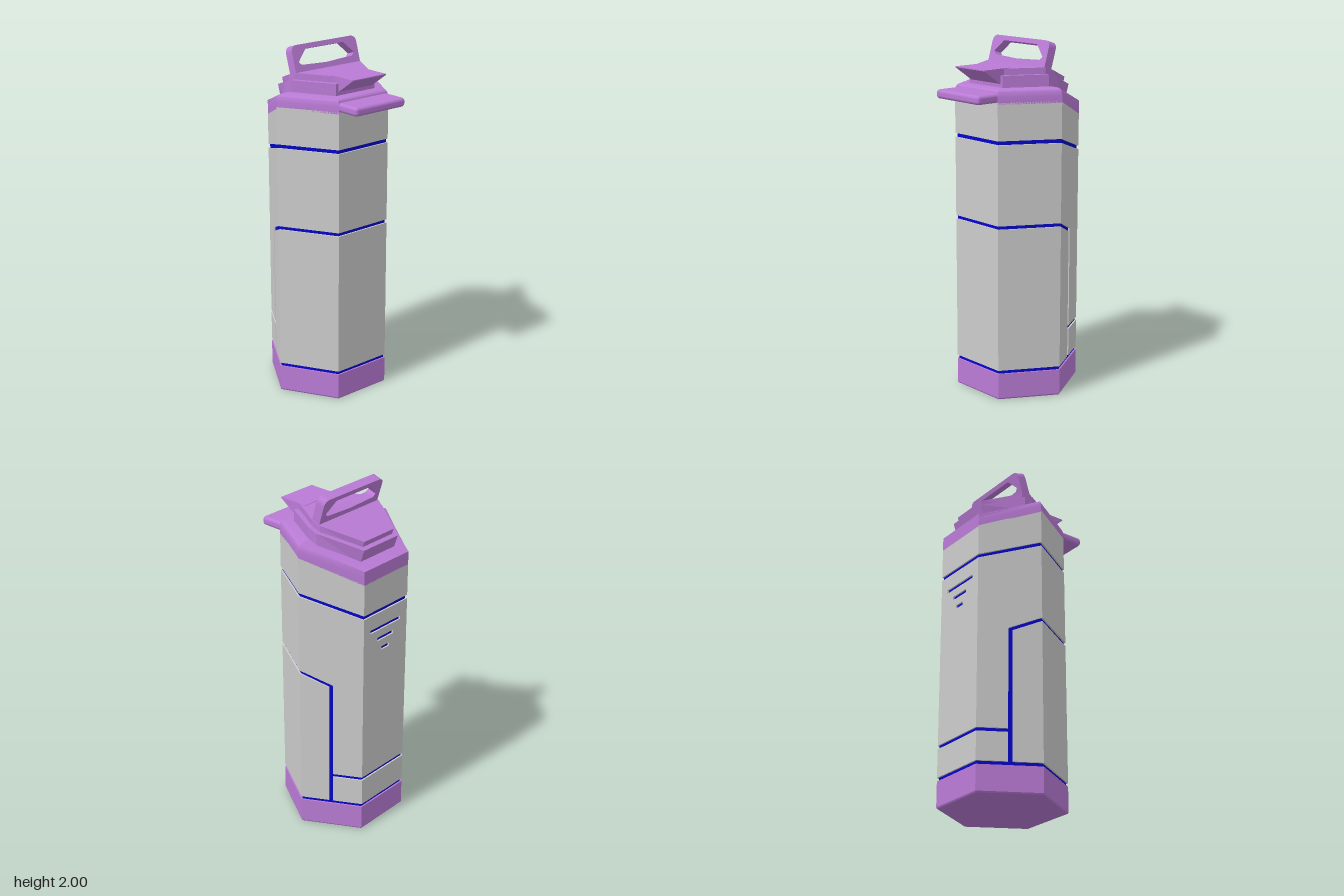
import * as THREE from 'three';
import { toCreasedNormals } from 'three/addons/utils/BufferGeometryUtils.js';
import { RoundedBoxGeometry } from 'three/addons/geometries/RoundedBoxGeometry.js';

const R = 0.355, Z0 = -0.07, RECESS = 0.97;
const grey = new THREE.MeshStandardMaterial({ color: 0xcccccc });
const purple = new THREE.MeshStandardMaterial({ color: 0xba7bd6 });
const blue = new THREE.MeshStandardMaterial({ color: 0x0505c8 });

// Hexagon corner k (0 = +x, 1 and 2 at the front), scaled about the bottle axis
const corner = (k, s = 1) => {
  const a = k * Math.PI / 3;
  return [R * s * Math.cos(a), Z0 + R * s * Math.sin(a)];
};
// Lower rim of the lid: level in front, sloping down behind the axis
const rimY = z => 1.68 - 0.39 * Math.max(0, Z0 - z);

// Skin over a list of equal-length closed rings, with both ends capped
function loft(rings, crease) {
  const p = [], n = rings[0].length;
  const tri = (a, b, c) => p.push(...a, ...b, ...c);
  for (let i = 0; i + 1 < rings.length; i++) {
    for (let k = 0; k < n; k++) {
      const j = (k + 1) % n, lo = rings[i], hi = rings[i + 1];
      tri(lo[k], hi[k], lo[j]);
      tri(lo[j], hi[k], hi[j]);
    }
  }
  const first = rings[0], last = rings[rings.length - 1];
  for (let k = 1; k + 1 < n; k++) {
    tri(first[0], first[k], first[k + 1]);
    tri(last[0], last[k + 1], last[k]);
  }
  const g = new THREE.BufferGeometry();
  g.setAttribute('position', new THREE.Float32BufferAttribute(p, 3));
  g.computeVertexNormals();
  return crease ? toCreasedNormals(g, crease) : g;
}

const hexRing = (s, y) => Array.from({ length: 6 }, (_, k) => {
  const [x, z] = corner(k, s);
  return [x, typeof y === 'function' ? y(z) : y, z];
});

// Rectangular section of a slab: rows run from front to back
const section = (z, w, top, bottom, zb = z) =>
  [[w, top, z], [-w, top, z], [-w, bottom, zb], [w, bottom, zb]];

// Plate that folds down behind z = -0.06, its rear walls square to the slope
function foldedPlate(rows, top, thick) {
  return loft(rows.map(([z, w]) => {
    const back = Math.max(0, -0.06 - z), y = top - 0.33 * back;
    const lean = back > 0.1 ? 0.32 * thick : 0;
    return section(z, w, y, y - thick, z + lean);
  }));
}

// Wall panel on face k; outline in (u across the face 0..1, y), edges mitred to the axis
function panel(k, outline, holes = []) {
  const toPath = pts => pts.map(([u, y]) => new THREE.Vector2(u, y));
  const shape = new THREE.Shape(toPath(outline));
  holes.forEach(h => shape.holes.push(new THREE.Path(toPath(h))));
  const g = new THREE.ExtrudeGeometry(shape, { depth: 1, bevelEnabled: false });
  const pos = g.attributes.position;
  for (let i = 0; i < pos.count; i++) {
    const u = pos.getX(i), s = RECESS + (1 - RECESS) * pos.getZ(i);
    const [ax, az] = corner(k + 1, s), [bx, bz] = corner(k, s);
    pos.setXYZ(i, ax + (bx - ax) * u, pos.getY(i), az + (bz - az) * u);
  }
  g.computeVertexNormals();
  return g;
}
const rect = (u0, u1, y0, y1) => [[u0, y0], [u1, y0], [u1, y1], [u0, y1]];

export function createModel() {
  const model = new THREE.Group();
  const add = (name, geometry, material, parent = model) => {
    const mesh = new THREE.Mesh(geometry, material);
    mesh.name = name;
    parent.add(mesh);
    return mesh;
  };

  // Base cup and the recessed core that shows through the grooves
  add('base', loft([hexRing(0.985, 0), hexRing(1, 0.008), hexRing(1, 0.152)]), purple);
  add('grooveCore', loft([hexRing(RECESS, 0.1), hexRing(RECESS, z => rimY(z) + 0.01)]), blue);

  // Wall panels
  const walls = new THREE.Group();
  walls.name = 'wallPanels';
  model.add(walls);
  for (const k of [0, 1, 2]) {
    for (const [y0, y1] of [[0.172, 0.99], [1.01, 1.46], [1.482, 1.69]]) {
      add('frontPanel', panel(k, rect(0, 1, y0, y1)), grey, walls);
    }
  }
  const sidePanels = [
    [[0, 0.172], [0.46, 0.172], [0.46, 0.924], [0, 0.99]],
    [[0, 1.01], [0.525, 0.937], [0.525, 0.355], [1, 0.355], [1, 1.36], [0, 1.46]],
    rect(0.525, 1, 0.172, 0.335),
    [[0, 1.482], [1, 1.382], [1, 1.565], [0, 1.685]],
  ];
  for (const outline of sidePanels) {
    add('rightRearPanel', panel(5, outline), grey, walls);
    add('leftRearPanel', panel(3, outline.map(([u, y]) => [1 - u, y])), grey, walls);
  }
  // Back face with three shrinking slots
  const slots = [[0.345, 1.265], [0.18, 1.2], [0.09, 1.135]]
    .map(([h, y]) => rect(0.5 - h, 0.5 + h, y - 0.01, y + 0.01));
  add('backPanel', panel(4, rect(0, 1, 0.172, 0.335)), grey, walls);
  add('backPanel', panel(4, rect(0, 1, 0.355, 1.36), slots), grey, walls);
  add('backPanel', panel(4, rect(0, 1, 1.382, 1.565)), grey, walls);

  // Lid: rounded over at the front and sides, square at the back
  const lidRings = [[1, 0], [1, 0.04], [0.993, 0.055], [0.977, 0.068], [0.955, 0.075], [0.9, 0.08]]
    .map(([s, h]) => Array.from({ length: 6 }, (_, k) => {
      const [x, z] = corner(k, k > 3 ? 1 : s);
      return [x, rimY(z) + h, z];
    }));
  add('lid', loft(lidRings, 0.36), purple);
  const visor = add('visor', new RoundedBoxGeometry(0.354, 0.05, 0.3, 3, 0.018), purple);
  visor.position.set(0, 1.715, 0.225);

  // Stepped cap with its wedge-shaped thumb tab
  add('capLower', foldedPlate([[0.167, 0.138], [-0.06, 0.262], [-0.115, 0.262], [-0.335, 0.135]], 1.825, 0.085), purple);
  add('capUpper', foldedPlate([[0.14, 0.12], [-0.06, 0.235], [-0.115, 0.235], [-0.32, 0.117]], 1.86, 0.06), purple);
  add('thumbTab', loft([
    section(0.28, 0.12, 1.862, 1.857),
    section(0.168, 0.12, 1.862, 1.78),
    section(0.1, 0.12, 1.862, 1.78),
  ]), purple);

  // Carry handle, leaning back
  const W = 0.23, H = 0.155, r = 0.04;
  const loop = new THREE.Shape();
  loop.moveTo(-W, -0.02);
  loop.lineTo(W, -0.02);
  loop.lineTo(W, H - r);
  loop.quadraticCurveTo(W, H, W - r, H);
  loop.lineTo(-W + r, H);
  loop.quadraticCurveTo(-W, H, -W, H - r);
  loop.holes.push(new THREE.Path([
    [-0.135, 0.128], [-0.197, 0.062], [-0.18, 0.045], [0, 0.036], [0.18, 0.045], [0.197, 0.062], [0.135, 0.128],
  ].map(([x, y]) => new THREE.Vector2(x, y))));
  const handleGeo = new THREE.ExtrudeGeometry(loop, { depth: 0.054, bevelEnabled: false, curveSegments: 6 });
  handleGeo.translate(0, 0, -0.027);
  const handle = add('handle', toCreasedNormals(handleGeo, 0.6), purple);
  handle.position.set(0, 1.845, -0.078);
  handle.rotation.x = -0.3;

  return model;
}
